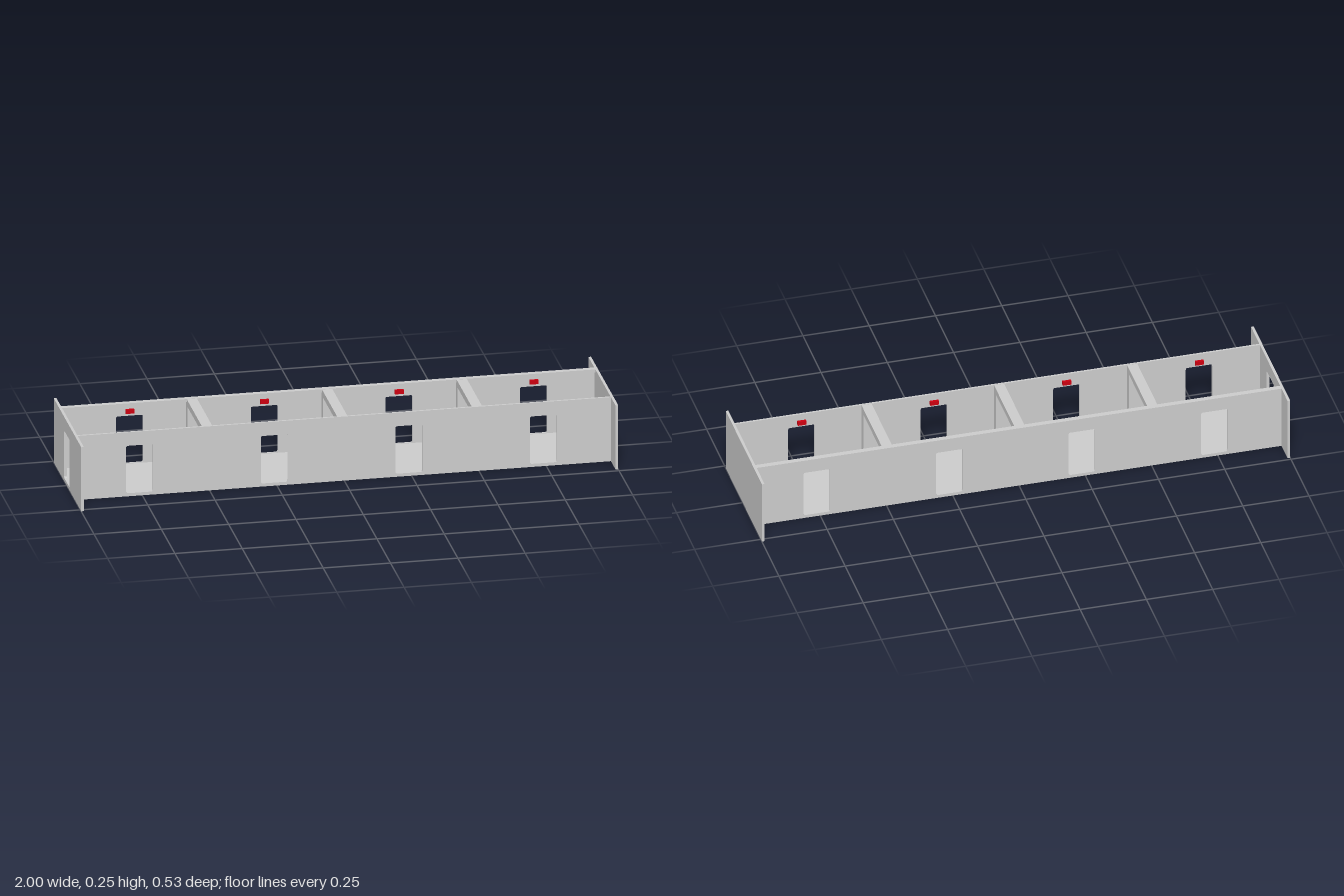
import * as THREE from 'three';

const grey = new THREE.MeshStandardMaterial({ color: 0xcccccc });
const red = new THREE.MeshStandardMaterial({ color: 0xcc0010 });

const HEIGHT = 0.25;
const DOOR = { width: 0.1, bottom: 0.012, top: 0.197 };

function box(name, w, h, d, x, y, z, material = grey) {
  const mesh = new THREE.Mesh(new THREE.BoxGeometry(w, h, d), material);
  mesh.position.set(x, y, z);
  mesh.name = name;
  return mesh;
}

// Door opening with slightly rounded corners, centred on cx
function doorHole(cx) {
  const r = 0.007, a = cx - DOOR.width / 2, b = cx + DOOR.width / 2;
  const { bottom, top } = DOOR;
  const p = new THREE.Path();
  p.moveTo(a + r, bottom);
  p.lineTo(b - r, bottom);
  p.quadraticCurveTo(b, bottom, b, bottom + r);
  p.lineTo(b, top - r);
  p.quadraticCurveTo(b, top, b - r, top);
  p.lineTo(a + r, top);
  p.quadraticCurveTo(a, top, a, top - r);
  p.lineTo(a, bottom + r);
  p.quadraticCurveTo(a, bottom, a + r, bottom);
  return p;
}

// Upright panel from x0 to x1 with door openings
function wall(name, x0, x1, thickness, doors) {
  const s = new THREE.Shape();
  s.moveTo(x0, 0);
  s.lineTo(x1, 0);
  s.lineTo(x1, HEIGHT);
  s.lineTo(x0, HEIGHT);
  s.closePath();
  s.holes = doors.map(doorHole);
  const geo = new THREE.ExtrudeGeometry(s, { depth: thickness, bevelEnabled: false, curveSegments: 4 });
  const mesh = new THREE.Mesh(geo, grey);
  mesh.name = name;
  return mesh;
}

export function createModel() {
  const model = new THREE.Group();
  model.name = 'corridor';

  // Floor slab
  model.add(box('floor', 1.98, 0.01, 0.3, 0, 0.005, -0.003));

  // Long walls, each with four doorways
  const frontDoors = [-0.76, -0.26, 0.24, 0.74];
  const backDoors = frontDoors.map((x) => x + 0.023);
  const front = wall('frontWall', -0.99, 0.99, 0.008, frontDoors);
  front.position.z = 0.142;
  const back = wall('backWall', -0.99, 0.99, 0.008, backDoors);
  back.position.z = -0.156;
  model.add(front, back);

  // Ledge along the top of the back wall
  model.add(box('backLedge', 1.98, 0.012, 0.012, 0, HEIGHT - 0.006, -0.142));

  // End walls: one with a doorway, one solid
  const doorEnd = wall('rightEndWall', -0.265, 0.24, 0.01, [0]);
  doorEnd.rotation.y = Math.PI / 2;
  doorEnd.position.x = -1;
  model.add(doorEnd);
  model.add(box('leftEndWall', 0.01, HEIGHT, 0.5, 0.995, HEIGHT / 2, -0.015));

  // Frames between the compartments: a beam on two posts
  for (const x of [-0.508, -0.006, 0.494]) {
    const frame = new THREE.Group();
    frame.name = 'dividingFrame';
    frame.add(box('beam', 0.038, 0.025, 0.29, x, HEIGHT - 0.0135, -0.003));
    for (const z of [-0.134, 0.128]) {
      frame.add(box('post', 0.038, 0.22, 0.028, x, 0.118, z));
    }
    model.add(frame);
  }

  // Red lamps above the doorways, on the inner faces
  for (const x of frontDoors) model.add(box('frontLamp', 0.032, 0.016, 0.01, x, 0.216, 0.137, red));
  for (const x of backDoors) model.add(box('backLamp', 0.032, 0.016, 0.01, x, 0.216, -0.143, red));

  return model;
}
